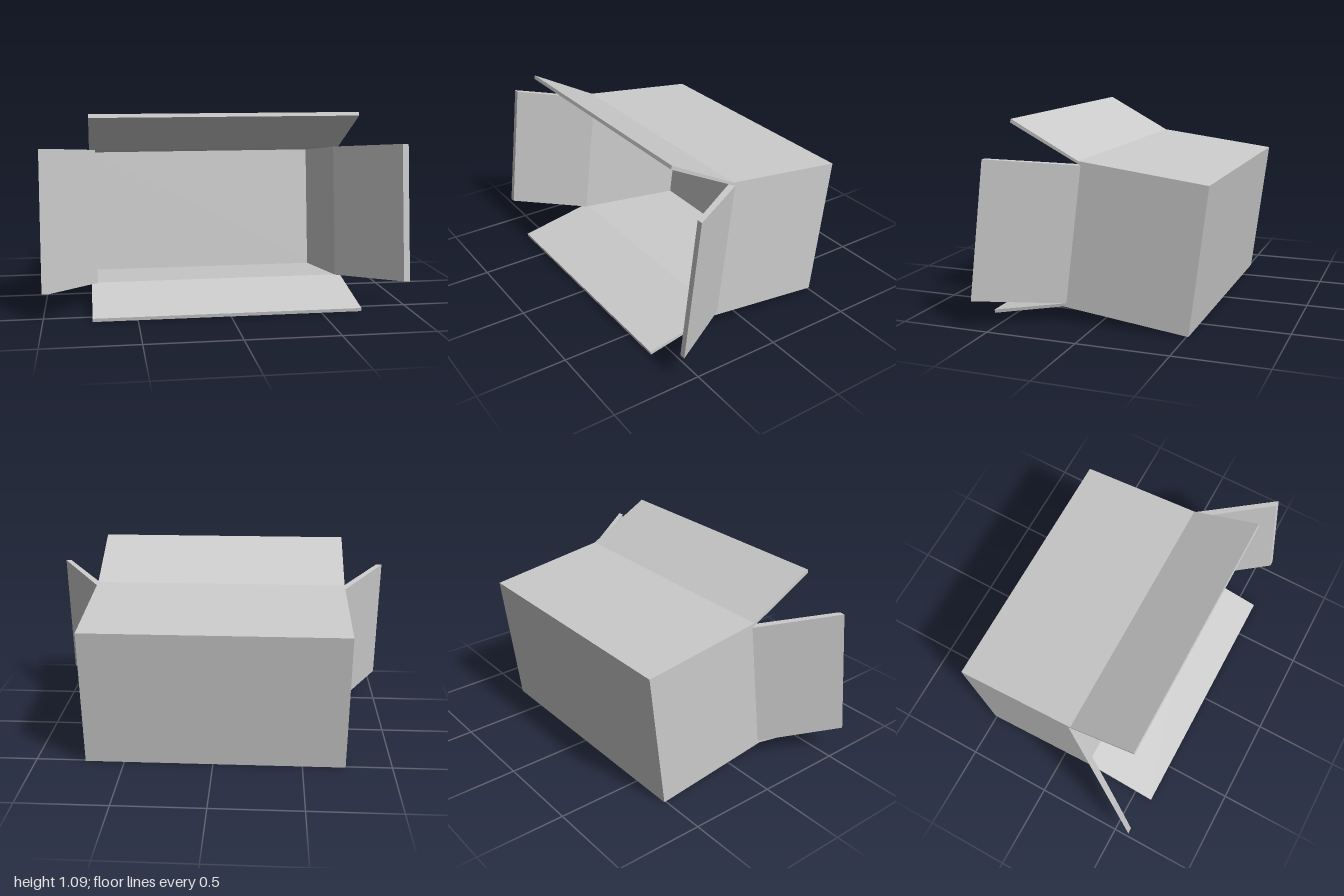
import * as THREE from 'three';

// Open carton lying on its side, tipped back on one flap.
const HALF = 0.73;      // half width of the box
const HEIGHT = 0.8;     // outer height
const RIM = 0.69;       // depth at the inner hinge line
const FLAP_END = 1.11;  // depth reached by every flap
const T = 0.021;        // thickness of top and bottom board
const SIDE_T = 0.034;   // thickness of side board

const material = new THREE.MeshStandardMaterial({ color: 0xcccccc });

function extrude(points, depth) {
  const shape = new THREE.Shape(points.map(([a, b]) => new THREE.Vector2(a, b)));
  return new THREE.ExtrudeGeometry(shape, { depth, bevelEnabled: false });
}

// Board with a (z, y) section, running the full width
function acrossBoard(name, points) {
  const geo = extrude(points, 2 * HALF).rotateY(-Math.PI / 2).translate(HALF, 0, 0);
  const mesh = new THREE.Mesh(geo, material);
  mesh.name = name;
  return mesh;
}

// Board with an (x, z) section, standing between bottom and top boards
function uprightBoard(name, points) {
  const geo = extrude(points, HEIGHT - 2 * T).rotateX(Math.PI / 2).translate(0, HEIGHT - T, 0);
  const mesh = new THREE.Mesh(geo, material);
  mesh.name = name;
  return mesh;
}

export function createModel() {
  const model = new THREE.Group();
  model.name = 'openCardboardBox';
  const box = new THREE.Group();
  box.name = 'box';
  box.position.set(-0.01, 0.003, -0.51);
  box.rotation.x = -0.124;
  model.add(box);

  // Top and bottom walls, with mitred hinges
  const outerRim = RIM + 0.015;
  box.add(acrossBoard('topWall', [[0, HEIGHT], [outerRim, HEIGHT], [RIM, HEIGHT - T], [0, HEIGHT - T]]));
  box.add(acrossBoard('bottomWall', [[0, 0], [outerRim, 0], [RIM, T], [0, T]]));

  // Top and bottom flaps
  box.add(acrossBoard('topFlap', [
    [outerRim, HEIGHT], [FLAP_END, 0.956], [FLAP_END + 0.003, 0.936], [RIM, HEIGHT - T]]));
  box.add(acrossBoard('bottomFlap', [
    [outerRim, 0], [FLAP_END - 0.002, -0.134], [FLAP_END + 0.003, -0.116], [RIM, T]]));

  // Back wall
  box.add(uprightBoard('backWall', [[-HALF, 0], [HALF, 0], [HALF, 0.025], [-HALF, 0.025]]));

  // Side walls and their splayed flaps
  for (const [side, s, tip] of [['left', 1, 1.01], ['right', -1, 0.99]]) {
    const inner = HALF - SIDE_T;
    const mirror = (points) => points.map(([x, z]) => [s * x, z]);
    box.add(uprightBoard(side + 'Wall', mirror([
      [HALF, 0.025], [HALF, RIM], [inner, RIM + 0.015], [inner, 0.025]])));
    box.add(uprightBoard(side + 'Flap', mirror([
      [HALF, RIM], [tip, FLAP_END], [tip - SIDE_T, FLAP_END], [inner, RIM + 0.015]])));
  }
  return model;
}
